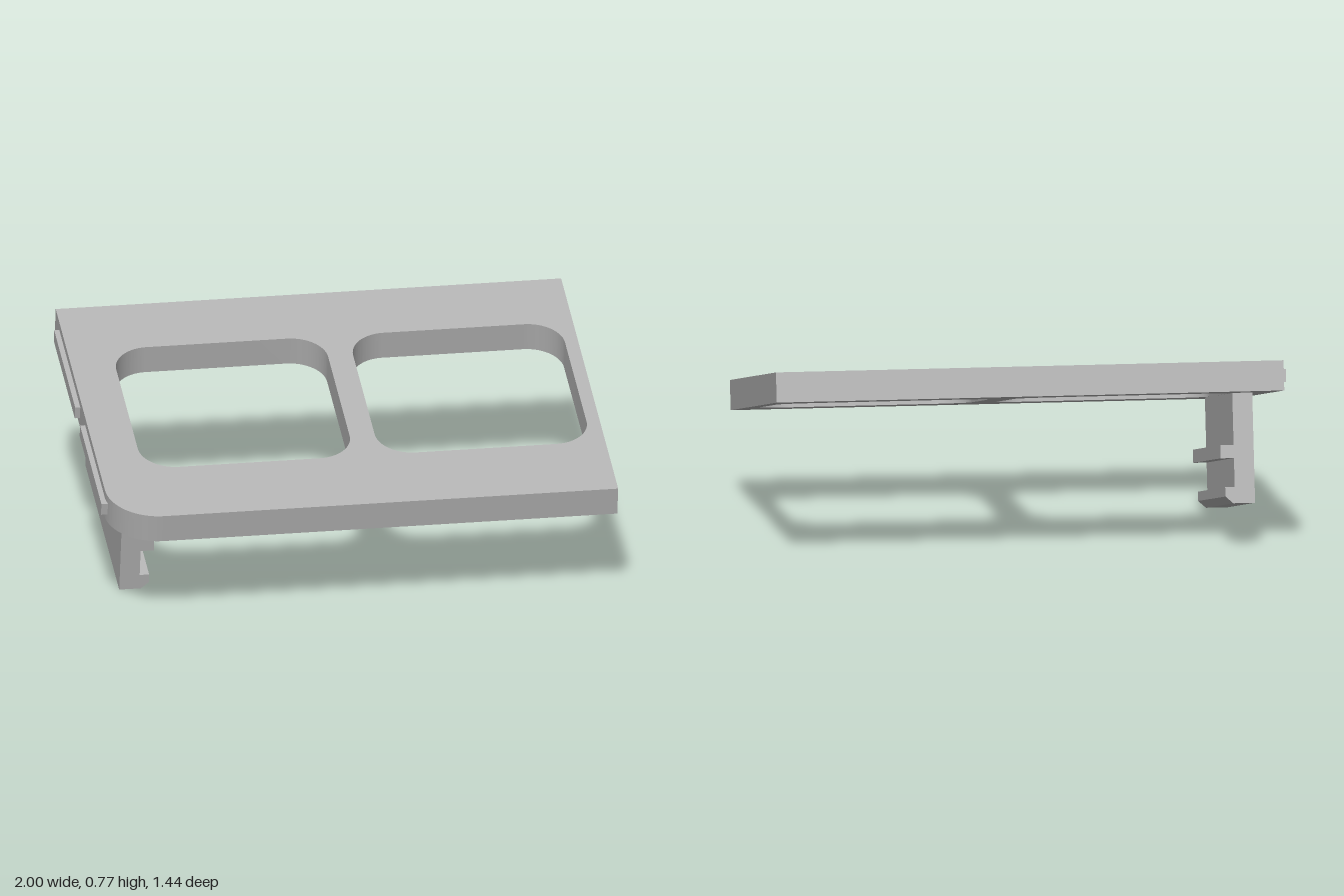
import * as THREE from 'three';
import { toCreasedNormals } from 'three/addons/utils/BufferGeometryUtils.js';

const grey = new THREE.MeshStandardMaterial({ color: 0xb4b4b4 });
grey.name = 'grey plastic';

// Rectangle with a radius per corner: [minMin, maxMin, maxMax, minMax]
function roundedRect(path, x0, y0, x1, y1, [a, b, c, d]) {
  const P = Math.PI;
  path.moveTo(x0 + a, y0);
  path.lineTo(x1 - b, y0);
  if (b) path.absarc(x1 - b, y0 + b, b, -P / 2, 0, false);
  path.lineTo(x1, y1 - c);
  if (c) path.absarc(x1 - c, y1 - c, c, 0, P / 2, false);
  path.lineTo(x0 + d, y1);
  if (d) path.absarc(x0 + d, y1 - d, d, P / 2, P, false);
  path.lineTo(x0, y0 + a);
  if (a) path.absarc(x0 + a, y0 + a, a, P, P * 1.5, false);
  return path;
}

function addMesh(parent, name, geometry) {
  const mesh = new THREE.Mesh(geometry, grey);
  mesh.name = name;
  parent.add(mesh);
  return mesh;
}

export function createModel() {
  const model = new THREE.Group();
  model.name = 'tiltedHolder';

  // Everything sits in one frame tilted up towards the back
  const tilted = new THREE.Group();
  tilted.name = 'tiltedFrame';
  tilted.rotation.x = THREE.MathUtils.degToRad(12);
  tilted.position.set(0, 0.505, -0.0105);
  model.add(tilted);

  // Plate with one rounded front corner and two openings (shape y = -z)
  const outline = roundedRect(new THREE.Shape(), -0.98, -0.723, 1, 0.723, [0.2, 0, 0, 0]);
  for (const x of [-0.81, 0.118]) {
    const r = 0.14;
    outline.holes.push(roundedRect(new THREE.Path(), x, -0.395, x + 0.83, 0.428, [r, r, r, r]));
  }
  const plate = new THREE.ExtrudeGeometry(outline, { depth: 0.117, bevelEnabled: false, curveSegments: 16 });
  plate.rotateX(-Math.PI / 2);
  addMesh(tilted, 'plate', toCreasedNormals(plate, 0.5));

  // Hanging clip: wall with an upper ridge and a chamfered lower lip
  const profile = [
    [-0.89, 0], [-0.89, -0.427], [-0.805, -0.427], [-0.775, -0.4], [-0.775, -0.364],
    [-0.812, -0.364], [-0.812, -0.252], [-0.76, -0.252], [-0.76, -0.201], [-0.812, -0.201], [-0.812, 0],
  ].map(([x, y]) => new THREE.Vector2(x, y));
  const clip = new THREE.ExtrudeGeometry(new THREE.Shape(profile), { depth: 0.859, bevelEnabled: false });
  clip.translate(0, 0, -0.44);
  addMesh(tilted, 'clip', clip);

  // Two thin rails on the outer side
  for (const [z0, z1] of [[-0.626, -0.094], [0.029, 0.57]]) {
    const rail = addMesh(tilted, 'sideRail', new THREE.BoxGeometry(0.03, 0.05, z1 - z0));
    rail.position.set(-0.985, 0.06, (z0 + z1) / 2);
  }
  return model;
}
